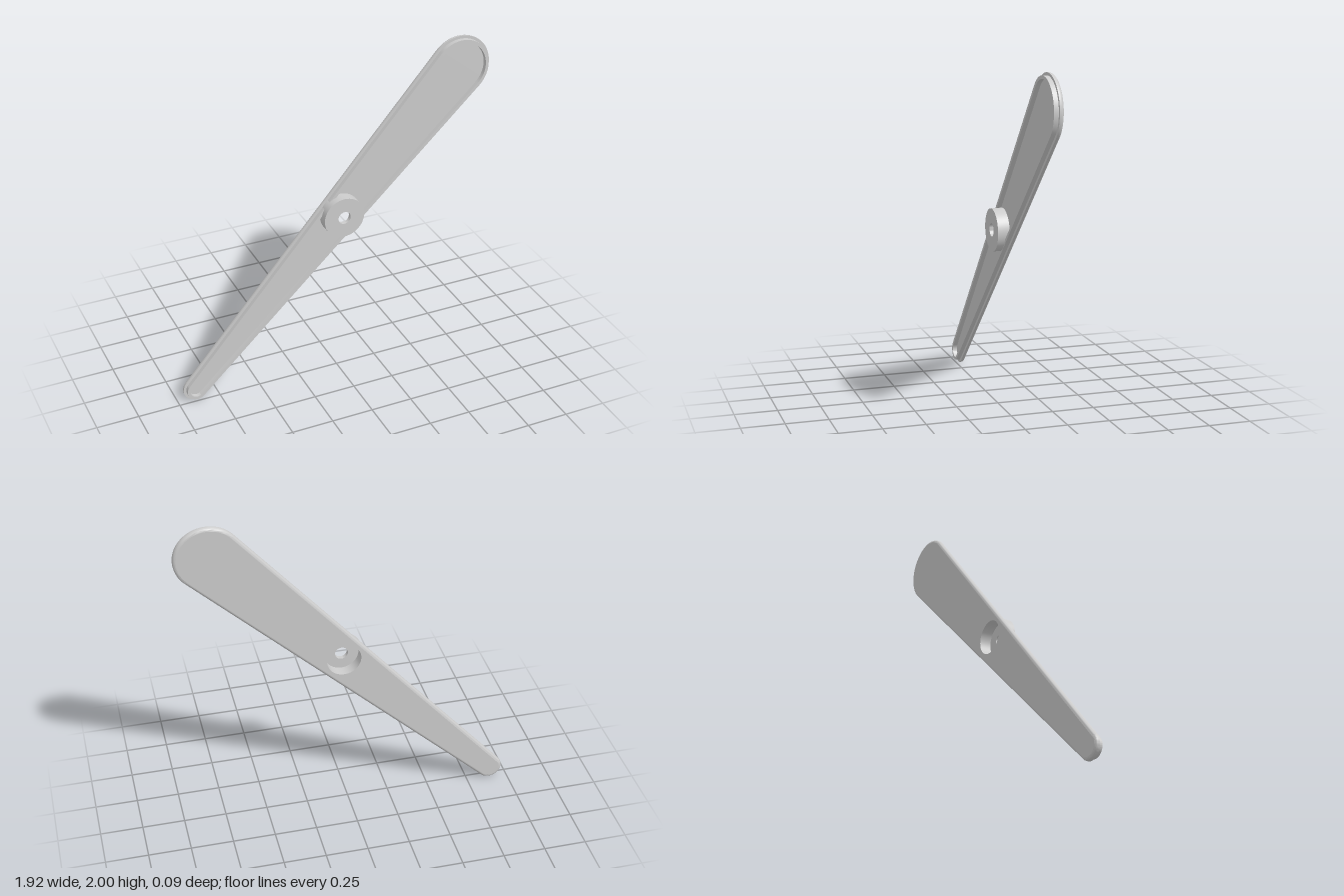
import * as THREE from 'three';
import { toCreasedNormals } from 'three/addons/utils/BufferGeometryUtils.js';

const BIG = { x: 0.77, y: 1.81, r: 0.19 };
const SMALL = { x: -0.89, y: 0.075, r: 0.075 };
const HUB = { x: 0.03, y: 1.04, r: 0.123, bore: 0.1, hole: 0.038 };
const BACK = -0.047, STEP = -0.021, RIM = 0.005, FRONT = 0.047;
const ARC = 32;

// Tapered outline around two circles, counter-clockwise, shrunk by inset
function outline(inset) {
  const dx = BIG.x - SMALL.x, dy = BIG.y - SMALL.y;
  const axis = Math.atan2(dy, dx);
  const half = Math.PI / 2 + Math.asin((BIG.r - SMALL.r) / Math.hypot(dx, dy));
  const points = [];
  const arc = (c, from, to) => {
    for (let i = 0; i <= ARC; i++) {
      const t = from + (to - from) * i / ARC;
      points.push(new THREE.Vector2(c.x + (c.r - inset) * Math.cos(t), c.y + (c.r - inset) * Math.sin(t)));
    }
  };
  arc(BIG, axis - half, axis + half);
  arc(SMALL, axis + half, axis + 2 * Math.PI - half);
  return points;
}

// Sweep a profile of [inset, z] pairs round the outline
function edgeLoft(profile) {
  const positions = [], index = [];
  const n = 2 * (ARC + 1);
  for (const [inset, z] of profile) {
    for (const p of outline(inset)) positions.push(p.x, p.y, z);
  }
  for (let j = 0; j < profile.length - 1; j++) {
    for (let i = 0; i < n; i++) {
      const k = (i + 1) % n;
      const a = j * n + i, b = j * n + k, c = b + n, d = a + n;
      index.push(a, b, c, a, c, d);
    }
  }
  const g = new THREE.BufferGeometry();
  g.setAttribute('position', new THREE.Float32BufferAttribute(positions, 3));
  g.setIndex(index);
  return toCreasedNormals(g, 0.6);
}

// Flat face of the blade with the hub bore cut out
function face(inset, z) {
  const shape = new THREE.Shape(outline(inset));
  const hole = new THREE.Path();
  hole.absarc(HUB.x, HUB.y, HUB.bore, 0, Math.PI * 2, true);
  shape.holes.push(hole);
  return new THREE.ShapeGeometry(shape, 24).translate(0, 0, z);
}

export function createModel() {
  const model = new THREE.Group();
  model.name = 'clockHand';
  const material = new THREE.MeshStandardMaterial({ color: 0xcccccc });
  const add = (name, geometry) => {
    const mesh = new THREE.Mesh(geometry, material);
    mesh.name = name;
    model.add(mesh);
    return mesh;
  };

  // Rounded back edge, stepped flange and raised rim
  const round = 0.018, profile = [];
  for (let i = 0; i <= 6; i++) {
    const t = i / 6 * Math.PI / 2;
    profile.push([round * (1 - Math.sin(t)), BACK + round * (1 - Math.cos(t))]);
  }
  profile.push([0, STEP], [0.016, STEP], [0.016, RIM], [0.034, RIM], [0.034, STEP]);
  add('bladeEdge', edgeLoft(profile));

  // Back face, turned to look backwards, and recessed front floor
  const back = face(round, BACK);
  const idx = back.index.array;
  for (let i = 0; i < idx.length; i += 3) [idx[i], idx[i + 1]] = [idx[i + 1], idx[i]];
  back.computeVertexNormals();
  add('bladeBack', back);
  add('bladeFloor', face(0.034, STEP));

  // Hub with a through hole and a wide bore from the back
  const section = [
    [HUB.r, STEP], [HUB.r, FRONT], [HUB.hole, FRONT],
    [HUB.hole, 0.022], [HUB.bore, 0.022], [HUB.bore, BACK],
  ].map(([r, z]) => new THREE.Vector2(r, z));
  const hub = new THREE.LatheGeometry(section, 48).rotateX(Math.PI / 2);
  add('hub', toCreasedNormals(hub, 0.6)).position.set(HUB.x, HUB.y, 0);

  return model;
}
